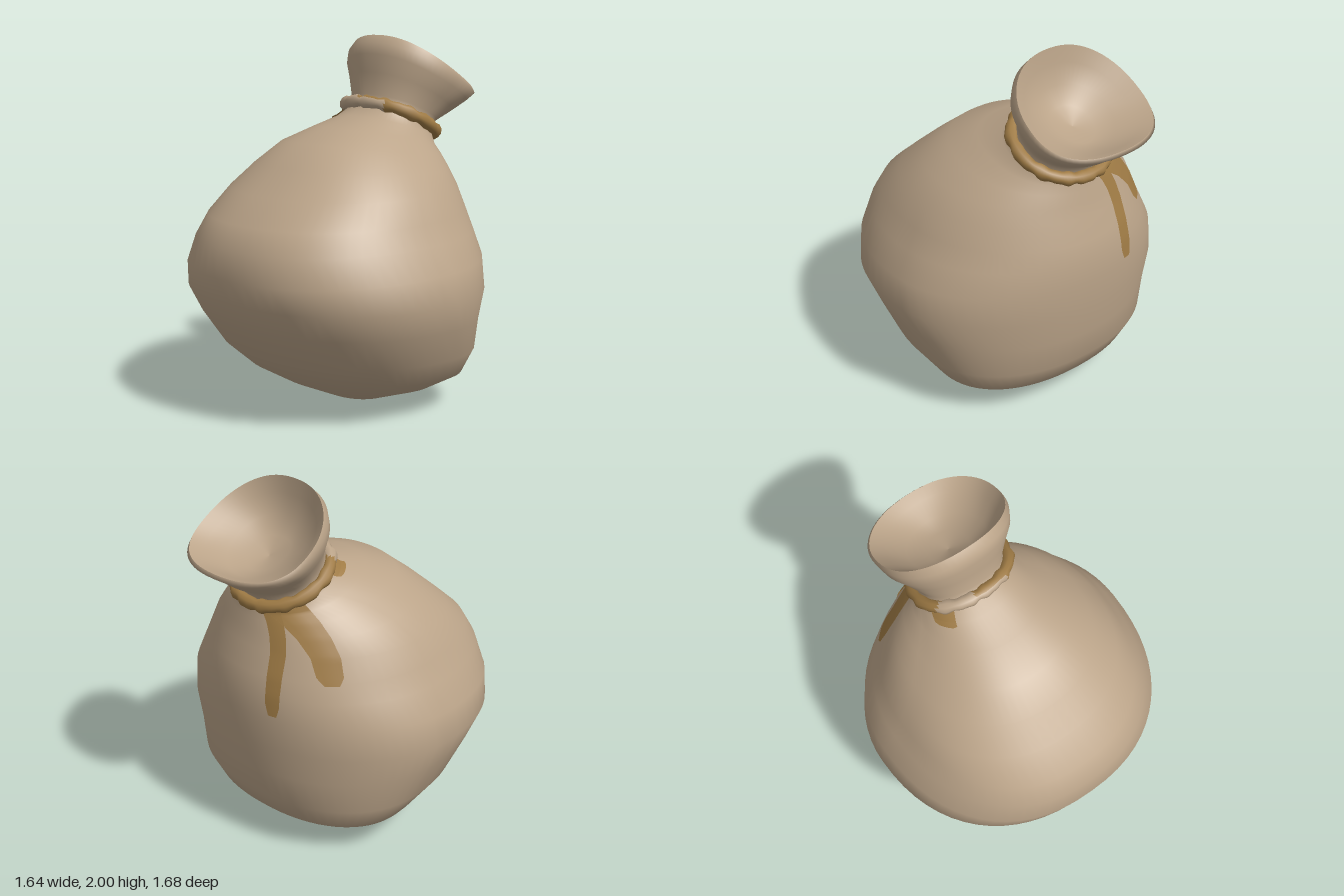
import * as THREE from 'three';

const SEGMENTS = 64;
const FRONT_POWER = 0.88; // below 1 squares off the rounded front

// Cross-sections, bottom to rim:
// [back z, back y, front z, front y, half width, z of widest point, back power, sag at the sides]
const SACK = [
  [-0.10, 0.00, -0.10, 0.00, 0.00, -0.10],
  [-0.28, 0.02, 0.08, 0.02, 0.22, -0.10],
  [-0.43, 0.07, 0.30, 0.12, 0.43, -0.14, 0.92],
  [-0.56, 0.18, 0.47, 0.22, 0.62, -0.15, 0.9],
  [-0.64, 0.32, 0.62, 0.35, 0.71, -0.10, 0.94],
  [-0.67, 0.50, 0.75, 0.53, 0.77, -0.04],
  [-0.69, 0.67, 0.82, 0.67, 0.82, 0.00],
  [-0.70, 0.85, 0.845, 0.80, 0.79, 0.00],
  [-0.69, 0.98, 0.82, 0.95, 0.715, 0.00],
  [-0.67, 1.08, 0.75, 1.07, 0.66, 0.00],
  [-0.63, 1.20, 0.60, 1.20, 0.60, -0.02],
  [-0.61, 1.28, 0.45, 1.33, 0.51, -0.08],
  [-0.595, 1.34, 0.30, 1.45, 0.41, -0.17],
  [-0.585, 1.38, 0.10, 1.52, 0.32, -0.26],
  [-0.58, 1.41, -0.08, 1.57, 0.27, -0.34],
  [-0.575, 1.44, -0.17, 1.62, 0.24, -0.38],
  [-0.61, 1.49, -0.20, 1.68, 0.25, -0.41],
  [-0.70, 1.54, -0.21, 1.80, 0.305, -0.47, 0.95, 0.01],
  [-0.78, 1.60, -0.215, 1.90, 0.355, -0.52, 0.9, 0.03],
  [-0.84, 1.64, -0.23, 1.96, 0.37, -0.56, 0.88, 0.04],
  [-0.83, 1.66, -0.27, 2.00, 0.36, -0.56, 0.88, 0.05],
];

// Inside of the open mouth, rim to floor
const LINING = [
  SACK[SACK.length - 1],
  [-0.77, 1.64, -0.28, 1.91, 0.30, -0.54, 0.9, 0.03],
  [-0.67, 1.60, -0.30, 1.80, 0.21, -0.48],
  [-0.58, 1.60, -0.36, 1.71, 0.11, -0.46],
  [-0.46, 1.64, -0.46, 1.64, 0.00, -0.46],
];

const CORD = [-0.592, 1.42, -0.165, 1.64, 0.262, -0.38];

// Point on one cross-section; angle 0 faces the front, a quarter turn faces +x
function sectionPoint([bz, by, fz, fy, w, c, backPower = 1, sag = 0], a) {
  const front = Math.cos(a) > 0;
  const power = front ? FRONT_POWER : backPower;
  const bend = (s) => Math.sign(s) * Math.abs(s) ** power;
  const z = c + bend(Math.cos(a)) * (front ? fz - c : c - bz);
  const t = fz === bz ? 0 : (z - bz) / (fz - bz);
  return new THREE.Vector3(w * bend(Math.sin(a)), by + (fy - by) * t - sag * Math.sin(a) ** 2, z);
}

// Point between cross-sections, v being a fractional section number
function surfacePoint(sections, v, a) {
  const i = Math.min(Math.floor(v), sections.length - 2);
  return sectionPoint(sections[i], a).lerp(sectionPoint(sections[i + 1], a), v - i);
}

function gridGeometry(points, rows, cols, closed) {
  const index = [];
  for (let i = 0; i < rows - 1; i++) {
    for (let j = 0; j < (closed ? cols : cols - 1); j++) {
      const k = (j + 1) % cols;
      const a = i * cols + j, b = i * cols + k;
      index.push(a, b, a + cols, b, b + cols, a + cols);
    }
  }
  const g = new THREE.BufferGeometry().setFromPoints(points);
  g.setIndex(index);
  g.computeVertexNormals();
  return g;
}

function loft(sections) {
  const points = [];
  for (const s of sections) {
    for (let j = 0; j < SEGMENTS; j++) points.push(sectionPoint(s, (j / SEGMENTS) * Math.PI * 2));
  }
  return gridGeometry(points, sections.length, SEGMENTS, true);
}

// Thin strip lying on the sack, running up from section v0 to v1
function strip(v0, a0, v1, a1, width0, width1) {
  const points = [], rows = 33, cols = 5;
  for (let i = 0; i < rows; i++) {
    const t = i / (rows - 1);
    const v = v0 + (v1 - v0) * t;
    const mid = a0 + (a1 - a0) * t;
    const radius = surfacePoint(SACK, v, Math.PI / 2).x;
    // rounded lower end
    const width = (width0 + (width1 - width0) * t) * Math.min(1, 0.6 + t * 7);
    for (let j = 0; j < cols; j++) {
      const a = mid + ((j / (cols - 1) - 0.5) * width) / radius;
      const p = surfacePoint(SACK, v, a);
      const da = surfacePoint(SACK, v, a + 0.01).sub(p);
      const dv = surfacePoint(SACK, v + 0.01, a).sub(p);
      points.push(p.add(da.cross(dv).normalize().multiplyScalar(0.007)));
    }
  }
  return gridGeometry(points, rows, cols, false);
}

// Lumpy cord round the neck; group 0 is rope, group 1 the cloth fold over its front
function cordGeometry() {
  const path = [];
  for (let i = 0; i < 48; i++) path.push(sectionPoint(CORD, (i / 48) * Math.PI * 2));
  const g = new THREE.TubeGeometry(new THREE.CatmullRomCurve3(path, true), 120, 0.035, 10, true);
  const pos = g.attributes.position, nor = g.attributes.normal;
  const isCloth = [];
  for (let i = 0; i < pos.count; i++) {
    const p = new THREE.Vector3().fromBufferAttribute(pos, i);
    const n = new THREE.Vector3().fromBufferAttribute(nor, i);
    const a = Math.atan2(p.x, p.z + 0.38);
    const ropeOnTop = a > -0.2 && n.y > 0.45;
    isCloth.push(a > -1.0 && a < 0.6 && !ropeOnTop);
    p.addScaledVector(n, 0.004 * Math.sin(a * 13) + 0.003 * Math.sin(a * 22 + 1));
    pos.setXYZ(i, p.x, p.y, p.z);
  }
  const ropeFaces = [], clothFaces = [];
  const index = g.index.array;
  for (let i = 0; i < index.length; i += 3) {
    (isCloth[index[i]] ? clothFaces : ropeFaces).push(index[i], index[i + 1], index[i + 2]);
  }
  g.setIndex([...ropeFaces, ...clothFaces]);
  g.addGroup(0, ropeFaces.length, 0);
  g.addGroup(ropeFaces.length, clothFaces.length, 1);
  return g;
}

export function createModel() {
  const cloth = new THREE.MeshStandardMaterial({ name: 'tan cloth', color: 0xbba489, side: THREE.DoubleSide });
  const rope = new THREE.MeshStandardMaterial({ name: 'brown rope', color: 0x9f7b45, side: THREE.DoubleSide });

  const model = new THREE.Group();
  model.name = 'tiedSack';
  const add = (name, geometry, material) => {
    const mesh = new THREE.Mesh(geometry, material);
    mesh.name = name;
    model.add(mesh);
  };

  add('sackBody', loft(SACK), cloth);
  add('mouthLining', loft(LINING), cloth);
  add('neckCord', cordGeometry(), [rope, cloth]);

  // Loose cord ends hanging down the back, and a scrap at the front
  const PI = Math.PI;
  add('longCordEnd', strip(7.2, PI + 0.28, 14.6, PI + 0.4, 0.08, 0.1), rope);
  add('shortCordEnd', strip(8.9, PI + 0.76, 14.6, PI + 0.62, 0.13, 0.24), rope);
  add('frontCordScrap', strip(13.8, -0.95, 14.8, -0.95, 0.13, 0.15), rope);

  return model;
}
